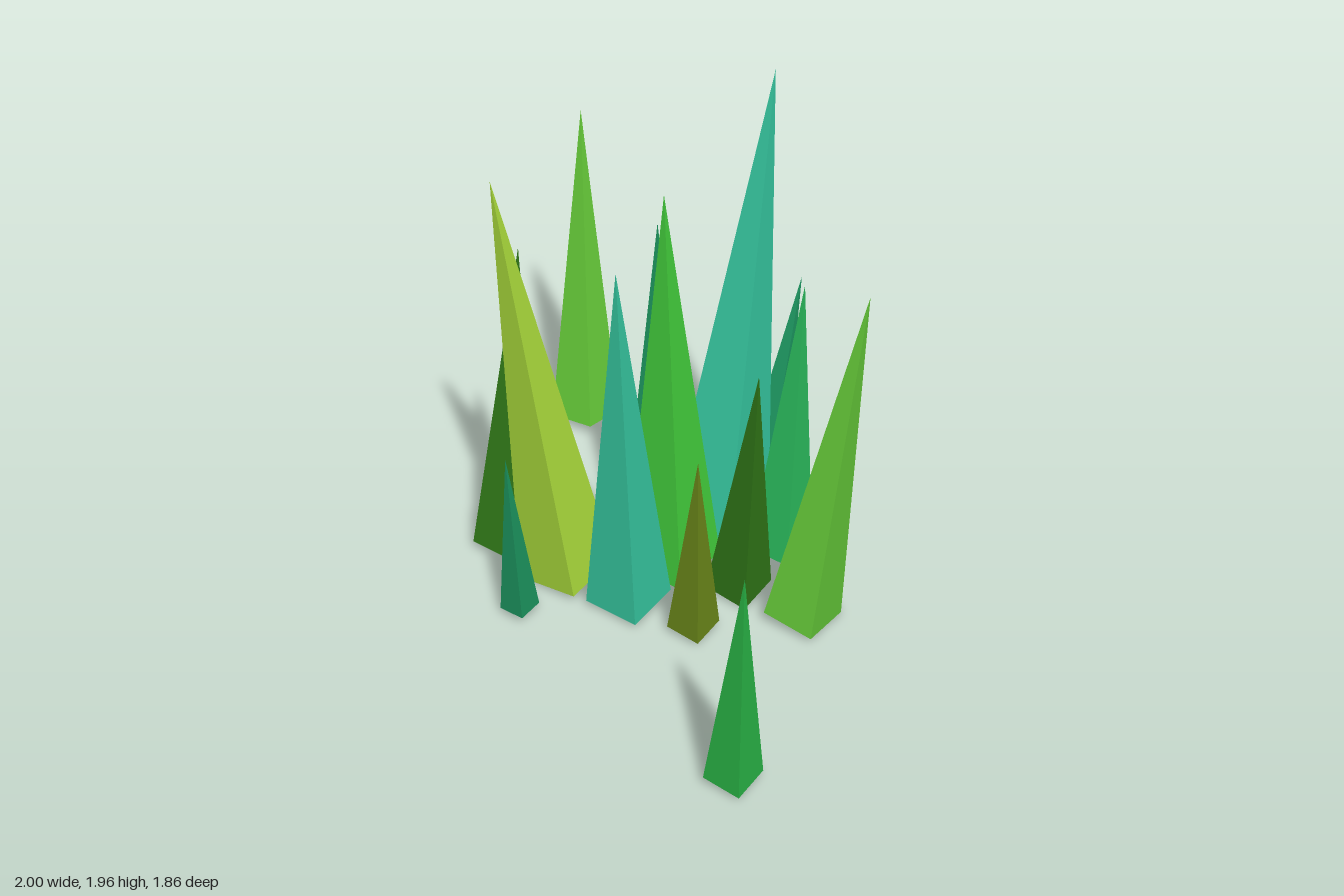
import * as THREE from 'three';

const COLORS = {
  teal: 0x36c7a0, deepTeal: 0x1c945e, lightGreen: 0x66cb39, brightGreen: 0x44d13d,
  seaGreen: 0x2bbc5d, grassGreen: 0x2bb948, darkGreen: 0x327b18,
  lightOlive: 0xa6d63a, darkOlive: 0x6f8d1b,
};

const BASE_Y = 0.03;

// colour, base centre x and z, half width of the base, tip x, y, z
const BLADES = [
  ['deepTeal', 0.005, -0.675, 0.067, 0.01, 0.885, -0.93],
  ['lightGreen', -0.88, -0.675, 0.1, -1.0, 1.355, -0.835],
  ['teal', 0.003, -0.378, 0.147, 0.1, 1.957, -0.56],
  ['deepTeal', -0.29, -0.38, 0.09, -0.36, 1.215, -0.475],
  ['seaGreen', 0.3, -0.38, 0.09, 0.35, 1.22, -0.41],
  ['brightGreen', 0.0, -0.075, 0.132, 0.07, 1.725, 0.08],
  ['darkGreen', 0.3, -0.09, 0.09, 0.492, 1.145, 0.098],
  ['lightGreen', 0.595, -0.085, 0.106, 0.783, 1.457, -0.14],
  ['darkGreen', -0.585, 0.21, 0.098, -0.537, 1.338, 0.145],
  ['lightOlive', -0.29, 0.215, 0.13, -0.46, 1.74, 0.378],
  ['teal', 0.003, 0.215, 0.115, 0.07, 1.545, 0.362],
  ['darkOlive', 0.3, 0.21, 0.07, 0.41, 0.887, 0.347],
  ['deepTeal', -0.293, 0.505, 0.052, -0.287, 0.737, 0.562],
  ['grassGreen', 0.885, 0.8, 0.075, 1.0, 1.015, 0.93],
];

// Hollow square spike standing on its own origin, leaning along the given axis
function makeBlade(half, axis, material) {
  const height = axis.length();
  const geometry = new THREE.ConeGeometry(half * Math.SQRT2, height, 4, 1, true);
  geometry.rotateY(Math.PI / 4);
  geometry.translate(0, height / 2, 0);
  const blade = new THREE.Mesh(geometry, material);
  blade.quaternion.setFromUnitVectors(new THREE.Vector3(0, 1, 0), axis.clone().normalize());
  return blade;
}

export function createModel() {
  const group = new THREE.Group();
  group.name = 'grassTuft';

  const materials = {};
  for (const [name, color] of Object.entries(COLORS)) {
    materials[name] = new THREE.MeshStandardMaterial({
      color, flatShading: true, side: THREE.DoubleSide,
    });
    materials[name].name = name;
  }

  // Scattered leaning blades
  BLADES.forEach(([color, x, z, half, tipX, tipY, tipZ], i) => {
    const axis = new THREE.Vector3(tipX - x, tipY - BASE_Y, tipZ - z);
    const blade = makeBlade(half, axis, materials[color]);
    blade.position.set(x, BASE_Y, z);
    blade.name = `grassBlade${i + 1}`;
    group.add(blade);
  });

  return group;
}
